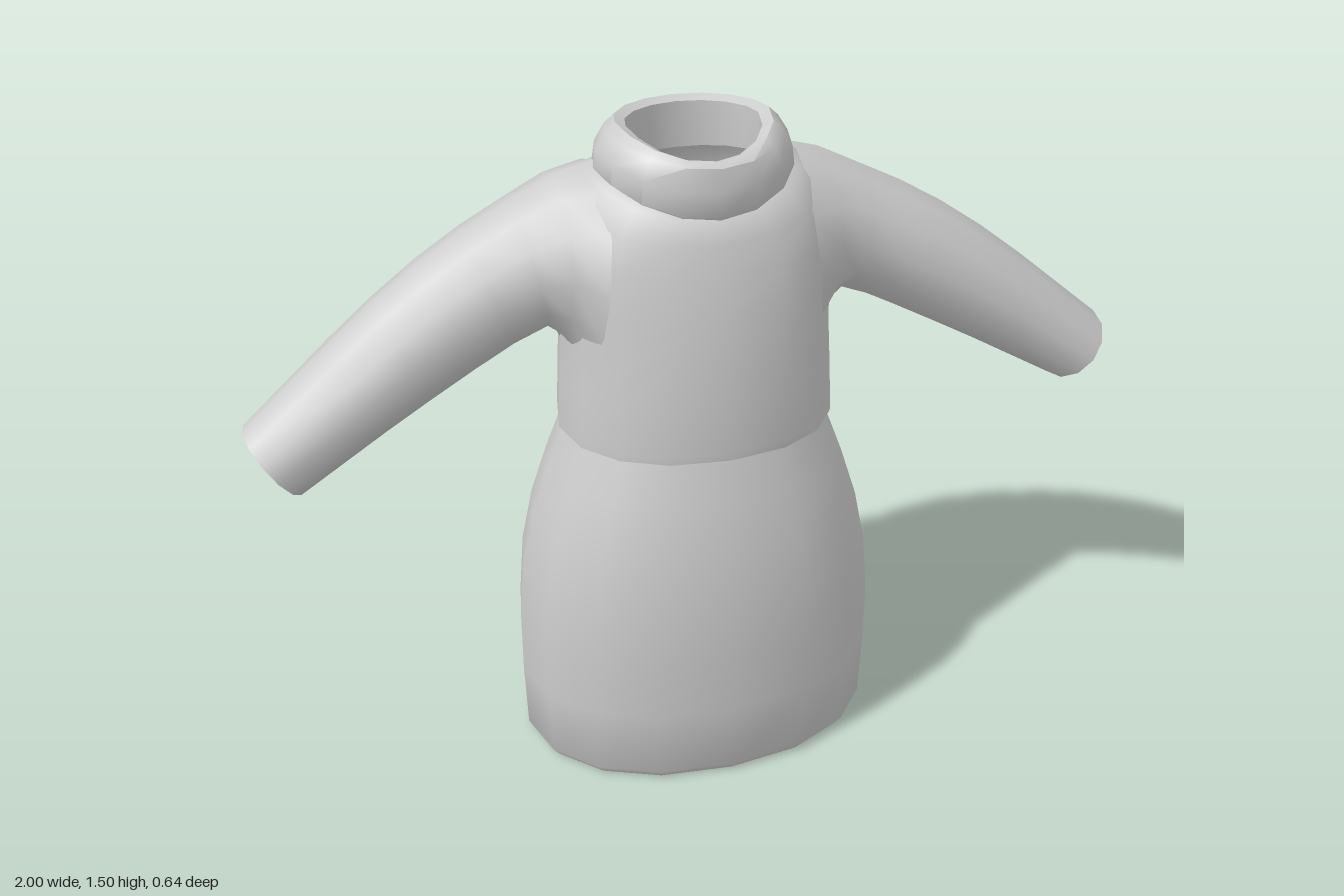
import * as THREE from 'three';
import { toCreasedNormals } from 'three/addons/utils/BufferGeometryUtils.js';

const material = new THREE.MeshStandardMaterial({ color: 0xcccccc, side: THREE.DoubleSide });

// Skins a list of rings; pointAt(ring, angle) returns [x, y, z]
function loft(name, rings, sides, pointAt) {
  const pos = [], index = [];
  rings.forEach((ring, i) => {
    for (let j = 0; j < sides; j++) {
      pos.push(...pointAt(ring, (j / sides) * Math.PI * 2));
      if (i === rings.length - 1) continue;
      const a = i * sides + j, b = i * sides + ((j + 1) % sides);
      index.push(a, a + sides, b, b, a + sides, b + sides);
    }
  });
  const geo = new THREE.BufferGeometry();
  geo.setAttribute('position', new THREE.Float32BufferAttribute(pos, 3));
  geo.setIndex(index);
  const mesh = new THREE.Mesh(toCreasedNormals(geo, 0.85), material);
  mesh.name = name;
  return mesh;
}

// Body ring: [half width, front z, back z, side y, front y, back y], slightly squared oval
function bodyPoint(power) {
  return ([hx, zf, zb, ys, yf = ys, yb = ys], t) => {
    const c = Math.cos(t), s = Math.sin(t), e = 2 / power;
    const w = Math.pow(Math.abs(s), 1.6);
    return [
      hx * Math.sign(c) * Math.pow(Math.abs(c), e),
      ys + ((s > 0 ? yf : yb) - ys) * w,
      (s > 0 ? zf : -zb) * Math.sign(s) * Math.pow(Math.abs(s), e),
    ];
  };
}

// Sleeve ring: [top x, top y, bottom x, bottom y, front z, back z, scale]
function sleevePoint(side) {
  return ([tx, ty, bx, by, zf, zb, k = 1], t) => {
    const c = Math.cos(t) * k, s = -side * Math.sin(t) * k;
    return [
      side * ((tx + bx) / 2 + (c * (tx - bx)) / 2),
      (ty + by) / 2 + (c * (ty - by)) / 2,
      (zf + zb) / 2 + (s * (zf - zb)) / 2,
    ];
  };
}

export function createModel() {
  const group = new THREE.Group();
  group.name = 'dress';

  // Skirt, open at the bottom
  group.add(loft('skirt', [
    [0.40, 0.295, -0.30, 0],
    [0.418, 0.308, -0.314, 0.02],
    [0.424, 0.314, -0.316, 0.18],
    [0.424, 0.32, -0.316, 0.32],
    [0.412, 0.317, -0.312, 0.46],
    [0.385, 0.303, -0.29, 0.59],
    [0.345, 0.28, -0.262, 0.71],
    [0.31, 0.257, -0.238, 0.80],
    [0.30, 0.25, -0.232, 0.83],
  ], 16, bodyPoint(2.2)));

  // Sweater body, from hem to neckline
  group.add(loft('bodice', [
    [0.30, 0.252, -0.234, 0.815],
    [0.314, 0.266, -0.245, 0.812],
    [0.314, 0.267, -0.247, 0.83],
    [0.308, 0.266, -0.249, 0.94],
    [0.302, 0.258, -0.25, 1.05],
    [0.305, 0.245, -0.249, 1.15],
    [0.305, 0.23, -0.245, 1.25, 1.225, 1.25],
    [0.28, 0.213, -0.23, 1.345, 1.29, 1.32],
    [0.235, 0.197, -0.2, 1.405, 1.335, 1.375],
    [0.195, 0.175, -0.165, 1.42, 1.35, 1.39],
  ], 16, bodyPoint(2.2)));

  // Thick collar, dipping at the front
  group.add(loft('collar', [
    [0.15, 0.15, -0.13, 1.40, 1.36, 1.39],
    [0.205, 0.186, -0.175, 1.39, 1.33, 1.38],
    [0.22, 0.197, -0.187, 1.41, 1.345, 1.39],
    [0.214, 0.199, -0.178, 1.45, 1.40, 1.44],
    [0.192, 0.194, -0.16, 1.485, 1.45, 1.49],
    [0.17, 0.175, -0.145, 1.505, 1.46, 1.505],
    [0.147, 0.148, -0.125, 1.495, 1.45, 1.495],
    [0.147, 0.148, -0.125, 1.45, 1.40, 1.44],
    [0.15, 0.15, -0.13, 1.40, 1.36, 1.39],
  ], 16, bodyPoint(2)));

  // Sleeves, each with a cuff rim turning into an inner tube
  const wrist = [1.0, 0.925, 0.89, 0.78, 0.143, -0.085];
  const sleeve = [
    [0.21, 1.42, 0.26, 0.95, 0.175, -0.225],
    [0.30, 1.392, 0.305, 1.035, 0.135, -0.212],
    [0.40, 1.342, 0.335, 1.062, 0.115, -0.194],
    [0.50, 1.293, 0.41, 1.035, 0.116, -0.179],
    [0.60, 1.235, 0.50, 0.99, 0.12, -0.163],
    [0.70, 1.167, 0.60, 0.938, 0.125, -0.144],
    [0.80, 1.09, 0.70, 0.885, 0.131, -0.124],
    wrist,
    [...wrist, 0.62],
    [0.80, 1.09, 0.70, 0.885, 0.131, -0.124, 0.6],
    [0.60, 1.235, 0.50, 0.99, 0.12, -0.163, 0.6],
  ];
  for (const [side, name] of [[1, 'leftSleeve'], [-1, 'rightSleeve']]) {
    group.add(loft(name, sleeve, 12, sleevePoint(side)));
  }
  return group;
}
